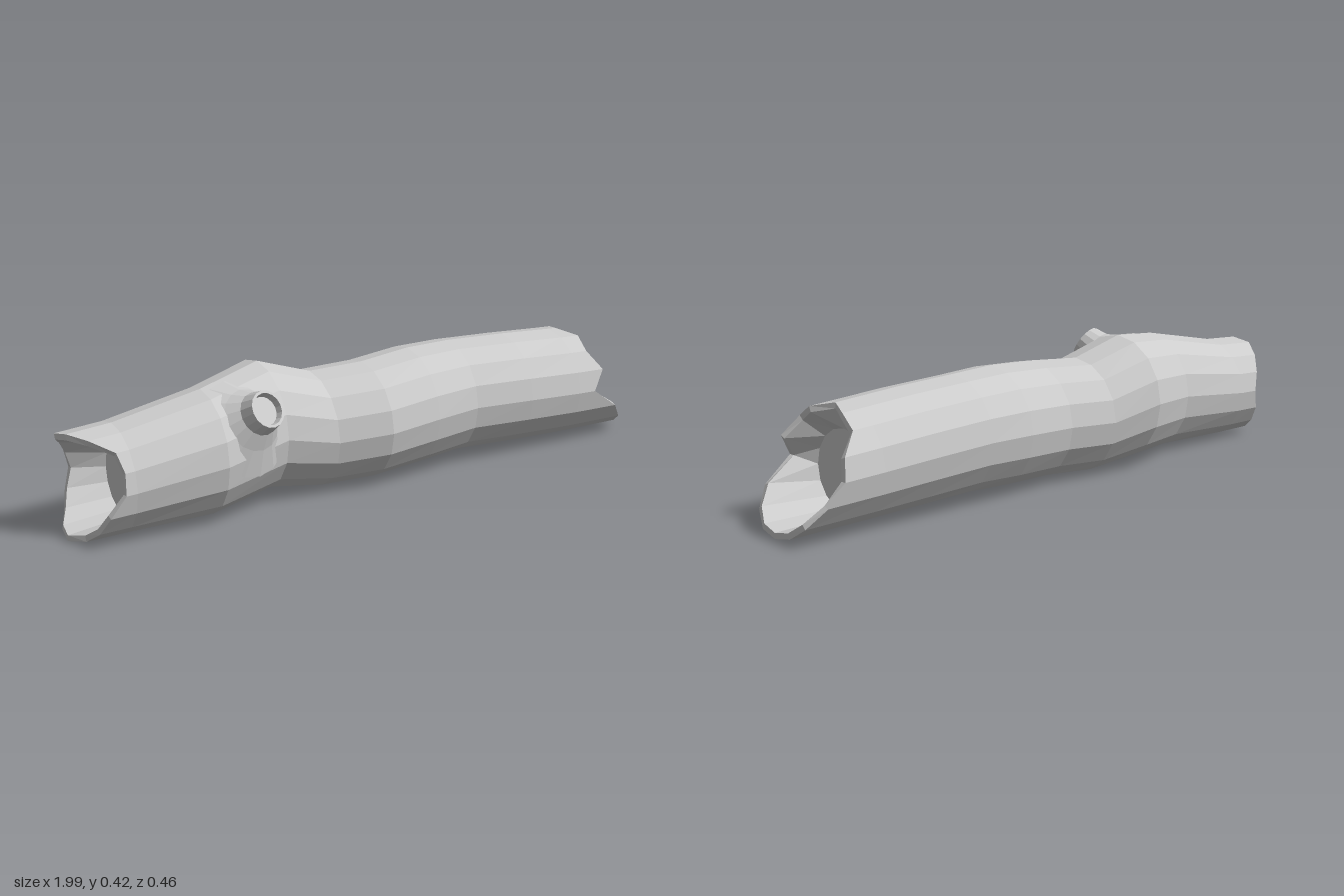
import * as THREE from 'three';

const SIDES = 16;

// Skin a list of rings (each an array of Vector3) into a flat-shaded tube wall
function loft(name, rings, material) {
  const pos = [];
  const n = rings[0].length;
  for (let i = 0; i < rings.length - 1; i++) {
    for (let k = 0; k < n; k++) {
      const k1 = (k + 1) % n;
      const a = rings[i][k], b = rings[i][k1], c = rings[i + 1][k1], d = rings[i + 1][k];
      for (const p of [a, b, d, b, c, d]) pos.push(p.x, p.y, p.z);
    }
  }
  const geo = new THREE.BufferGeometry();
  geo.setAttribute('position', new THREE.Float32BufferAttribute(pos, 3));
  geo.computeVertexNormals();
  const mesh = new THREE.Mesh(geo, material);
  mesh.name = name;
  return mesh;
}

// Trunk stations: x, bottom y, top y, back z, front z
const STATIONS = [
  [-1.0, 0.005, 0.325, -0.14, 0.18],
  [-0.85, 0.006, 0.335, -0.142, 0.18],
  [-0.57, 0.01, 0.39, -0.145, 0.203],
  [-0.34, 0.025, 0.42, -0.23, 0.145],
  [-0.17, 0.004, 0.366, -0.2, 0.157],
  [0.0, 0.01, 0.376, -0.18, 0.192],
  [0.18, 0.016, 0.388, -0.194, 0.175],
  [0.34, 0.025, 0.385, -0.195, 0.155],
  [0.55, 0.018, 0.376, -0.192, 0.165],
  [0.74, 0.013, 0.364, -0.19, 0.17],
  [1.0, 0.01, 0.35, -0.19, 0.17],
];

// Broken edges: x at each angle, from the top round through the front
const RIGHT_EDGE = [0.77, 0.81, 0.8, 0.84, 0.8, 0.9, 0.95, 0.98, 0.99, 0.99, 0.98, 0.93, 0.88, 0.87, 0.81, 0.8];
const LEFT_EDGE = [-0.99, -0.95, -0.89, -0.88, -0.885, -0.93, -0.95, -0.97, -1, -0.99, -0.96, -0.94, -0.92, -0.94, -0.97, -1];

// Point on the trunk surface at x and angle index k, moved inwards by inset
function trunkPoint(x, k, inset = 0) {
  let i = 0;
  while (i < STATIONS.length - 2 && x > STATIONS[i + 1][0]) i++;
  const t = (x - STATIONS[i][0]) / (STATIONS[i + 1][0] - STATIONS[i][0]);
  const [y0, y1, z0, z1] = [1, 2, 3, 4].map((j) => THREE.MathUtils.lerp(STATIONS[i][j], STATIONS[i + 1][j], t));
  const a = (k / SIDES) * Math.PI * 2;
  return new THREE.Vector3(
    x,
    (y0 + y1) / 2 + Math.cos(a) * ((y1 - y0) / 2 - inset),
    (z0 + z1) / 2 + Math.sin(a) * ((z1 - z0) / 2 - inset)
  );
}

// Ring round an axis, used for the plugs and the branch
function circle(center, axis, radius) {
  const up = new THREE.Vector3(0, 1, 0);
  up.addScaledVector(axis, -up.dot(axis)).normalize();
  const side = axis.clone().cross(up);
  return Array.from({ length: SIDES }, (_, k) => {
    const a = (k / SIDES) * Math.PI * 2;
    return center.clone().addScaledVector(up, Math.cos(a) * radius).addScaledVector(side, Math.sin(a) * radius);
  });
}

export function createModel() {
  const group = new THREE.Group();
  group.name = 'hollowLog';
  const wood = new THREE.MeshStandardMaterial({ color: 0xcccccc, flatShading: true });
  wood.name = 'paleWood';
  const V = (x, y, z) => new THREE.Vector3(x, y, z);

  // Bark shell between the two ragged ends
  const ends = [LEFT_EDGE, RIGHT_EDGE].map((edge) => edge.map((x, k) => trunkPoint(x, k)));
  const middle = STATIONS.slice(1, -1).map(([x]) => Array.from({ length: SIDES }, (_, k) => trunkPoint(x, k)));
  group.add(loft('bark', [ends[0], ...middle, ends[1]], wood));

  // Thin rim, tapering hollow and plug at each end
  const xAxis = V(1, 0, 0);
  [
    { name: 'left', edge: RIGHT_EDGE, outer: ends[1], plug: V(0.74, 0.157, -0.007), radius: 0.125, flip: false },
    { name: 'right', edge: LEFT_EDGE, outer: ends[0], plug: V(-0.82, 0.16, 0.018), radius: 0.118, flip: true },
  ].forEach(({ name, edge, outer, plug, radius, flip }) => {
    const inner = edge.map((x, k) => trunkPoint(x, k, 0.018));
    const plugRing = circle(plug, xAxis, radius);
    const add = (part, rings) => group.add(loft(name + part, flip ? rings.reverse() : rings, wood));
    add('Rim', [outer, inner]);
    add('HollowWall', [inner, plugRing]);
    add('HollowPlug', [plugRing, circle(plug, xAxis, 0)]);
  });

  // Short broken branch flaring out of the trunk
  const axis = V(0.2, 0.52, 0.83).normalize();
  const tip = V(-0.44, 0.353, 0.2);
  const along = (d, dx = 0, dy = 0) => tip.clone().addScaledVector(axis, -d).add(V(dx, dy, 0));
  const rim = circle(tip, axis, 0.057);
  const innerRim = circle(tip, axis, 0.049);
  const floor = circle(along(0.02), axis, 0.044);
  group.add(loft('branch', [
    circle(along(0.12, -0.01, -0.02), axis, 0.15),
    circle(along(0.075, -0.006, -0.008), axis, 0.095),
    circle(along(0.045), axis, 0.066),
    rim,
  ], wood));
  group.add(loft('branchRim', [rim, innerRim], wood));
  group.add(loft('branchHollow', [innerRim, floor, circle(along(0.02), axis, 0)], wood));

  return group;
}
